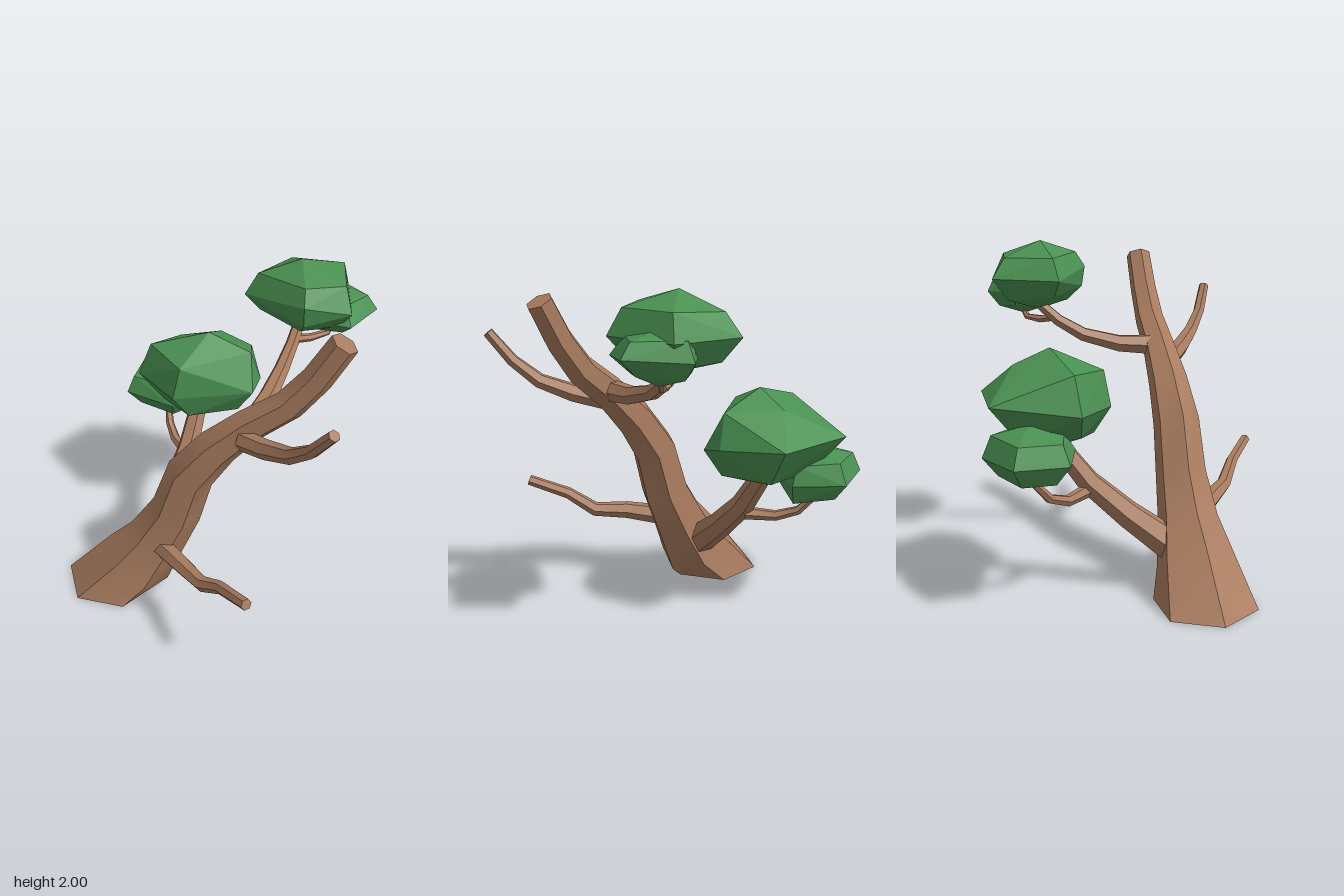
import * as THREE from 'three';
import { toCreasedNormals } from 'three/addons/utils/BufferGeometryUtils.js';
import { ConvexGeometry } from 'three/addons/geometries/ConvexGeometry.js';

const SIDES = 6;
const bark = new THREE.MeshStandardMaterial({ color: 0xa97c5f });
const leaf = new THREE.MeshStandardMaterial({ color: 0x4a9152, flatShading: true });

// Six-sided tapering limb through [x, y, z, radius] stations, capped at both ends.
function limb(name, stations, reference, firstTangent) {
  const centres = stations.map(([x, y, z]) => new THREE.Vector3(x, y, z));
  const last = stations.length - 1;
  const positions = [];
  const index = [];
  centres.forEach((c, i) => {
    const t = new THREE.Vector3();
    if (i > 0) t.add(c.clone().sub(centres[i - 1]).normalize());
    if (i < last) t.add(centres[i + 1].clone().sub(c).normalize());
    if (i === 0 && firstTangent) t.copy(firstTangent);
    t.normalize();
    const v = reference.clone().addScaledVector(t, -reference.dot(t)).normalize();
    const u = v.clone().cross(t);
    for (let k = 0; k < SIDES; k++) {
      const a = (k / SIDES) * Math.PI * 2;
      const p = c.clone()
        .addScaledVector(u, Math.cos(a) * stations[i][3])
        .addScaledVector(v, Math.sin(a) * stations[i][3]);
      positions.push(p.x, p.y, p.z);
    }
  });
  for (let i = 0; i < last; i++) {
    for (let k = 0; k < SIDES; k++) {
      const a = i * SIDES + k;
      const b = i * SIDES + ((k + 1) % SIDES);
      index.push(a, b, b + SIDES, a, b + SIDES, a + SIDES);
    }
  }
  const end = last * SIDES;
  for (let k = 1; k < SIDES - 1; k++) {
    index.push(0, k + 1, k, end, end + k, end + k + 1);
  }
  const geometry = new THREE.BufferGeometry();
  geometry.setAttribute('position', new THREE.Float32BufferAttribute(positions, 3));
  geometry.setIndex(index);
  const mesh = new THREE.Mesh(toCreasedNormals(geometry, 0.6), bark);
  mesh.name = name;
  return mesh;
}

// Faceted leaf clump: the convex hull of a few corner points.
function clump(name, points) {
  const mesh = new THREE.Mesh(new ConvexGeometry(points.map((p) => new THREE.Vector3(...p))), leaf);
  mesh.name = name;
  return mesh;
}

export function createModel() {
  const tree = new THREE.Group();
  tree.name = 'tree';
  const up = new THREE.Vector3(0, 1, 0);
  const front = new THREE.Vector3(0, 0, 1);

  // Leaning trunk with a flared, level foot
  const Z = 0.245;
  tree.add(limb('trunk', [
    [-0.57, 0, Z, 0.3], [-0.385, 0.2, Z, 0.23], [-0.26, 0.4, Z, 0.18],
    [-0.13, 0.65, Z, 0.152], [-0.04, 0.94, Z, 0.14], [0.12, 1.16, Z, 0.12],
    [0.3, 1.34, Z, 0.1], [0.5, 1.5, Z, 0.09], [0.635, 1.68, Z, 0.083],
    [0.755, 1.9, Z, 0.077],
  ], front, up));

  // Bare branches reaching forward
  tree.add(limb('lowerFrontBranch', [
    [-0.2, 0.42, 0.34, 0.065], [-0.03, 0.455, 0.5, 0.055], [0.13, 0.465, 0.63, 0.046],
    [0.26, 0.58, 0.74, 0.037], [0.44, 0.67, 0.91, 0.033],
  ], up));
  tree.add(limb('upperFrontBranch', [
    [0.28, 1.28, 0.32, 0.06], [0.42, 1.325, 0.43, 0.055], [0.57, 1.4, 0.55, 0.045],
    [0.68, 1.52, 0.65, 0.037], [0.785, 1.685, 0.725, 0.032],
  ], up));

  // Leafy branches reaching back, each with a twig
  tree.add(limb('lowerBackBranch', [
    [-0.32, 0.29, 0.11, 0.1], [-0.27, 0.47, -0.12, 0.082],
    [-0.22, 0.67, -0.34, 0.07], [-0.19, 0.93, -0.53, 0.055],
  ], up));
  tree.add(limb('lowerTwig', [
    [-0.23, 0.62, -0.35, 0.04], [-0.35, 0.61, -0.49, 0.032],
    [-0.42, 0.655, -0.6, 0.027], [-0.46, 0.77, -0.7, 0.02],
  ], up));
  tree.add(limb('upperBackBranch', [
    [0.32, 1.36, 0.19, 0.065], [0.345, 1.37, 0, 0.055], [0.38, 1.43, -0.22, 0.045],
    [0.41, 1.52, -0.37, 0.038], [0.435, 1.64, -0.5, 0.033],
  ], up));
  tree.add(limb('upperTwig', [
    [0.41, 1.54, -0.38, 0.027], [0.5, 1.52, -0.46, 0.024],
    [0.59, 1.53, -0.53, 0.02], [0.62, 1.6, -0.56, 0.016],
  ], up));

  // Leaf clumps, listed from crown to underside
  tree.add(clump('lowerLargeFoliage', [
    [-0.13, 1.43, -0.53],
    [-0.49, 1.33, -0.47], [-0.24, 1.31, -0.25], [0.14, 1.33, -0.52], [-0.1, 1.34, -0.73],
    [-0.42, 1.17, -0.91], [0.07, 1.17, -0.89],
    [-0.57, 1.12, -0.45], [-0.28, 1.11, -0.22], [0.2, 1.14, -0.55], [0.18, 1.11, -0.41],
    [-0.4, 0.97, -0.42], [-0.2, 0.95, -0.3], [0.08, 0.95, -0.45],
    [-0.35, 0.95, -0.74], [0, 0.95, -0.74], [-0.15, 0.87, -0.53],
  ]));
  tree.add(clump('lowerSmallFoliage', [
    [-0.42, 1.07, -0.7],
    [-0.65, 1.01, -0.8], [-0.65, 1.01, -0.57], [-0.39, 1.02, -0.9], [-0.2, 1.01, -0.75], [-0.35, 1, -0.5],
    [-0.69, 0.9, -0.83], [-0.69, 0.9, -0.54], [-0.39, 0.9, -0.95], [-0.17, 0.9, -0.75], [-0.35, 0.9, -0.44],
    [-0.62, 0.79, -0.78], [-0.62, 0.79, -0.6], [-0.4, 0.8, -0.87], [-0.22, 0.78, -0.72], [-0.37, 0.79, -0.52],
    [-0.43, 0.73, -0.69],
  ]));
  tree.add(clump('upperLargeFoliage', [
    [0.42, 2, -0.47],
    [0.18, 1.9, -0.44], [0.48, 1.93, -0.24], [0.69, 1.92, -0.35], [0.64, 1.92, -0.66], [0.33, 1.9, -0.7],
    [0.11, 1.77, -0.42], [0.49, 1.84, -0.18], [0.49, 1.72, -0.2], [0.74, 1.78, -0.29],
    [0.67, 1.78, -0.7], [0.29, 1.78, -0.78],
    [0.2, 1.68, -0.43], [0.46, 1.64, -0.3], [0.66, 1.66, -0.36], [0.6, 1.64, -0.62], [0.33, 1.65, -0.68],
    [0.44, 1.59, -0.48],
  ]));
  tree.add(clump('upperSmallFoliage', [
    [0.62, 1.84, -0.56],
    [0.8, 1.79, -0.54], [0.7, 1.79, -0.38], [0.5, 1.79, -0.4], [0.46, 1.79, -0.62], [0.6, 1.79, -0.72],
    [0.86, 1.71, -0.54], [0.74, 1.69, -0.31], [0.5, 1.69, -0.34], [0.43, 1.69, -0.62], [0.6, 1.69, -0.77],
    [0.77, 1.62, -0.54], [0.69, 1.61, -0.4], [0.5, 1.61, -0.4], [0.48, 1.61, -0.62], [0.6, 1.6, -0.7],
    [0.62, 1.55, -0.54],
  ]));
  return tree;
}
